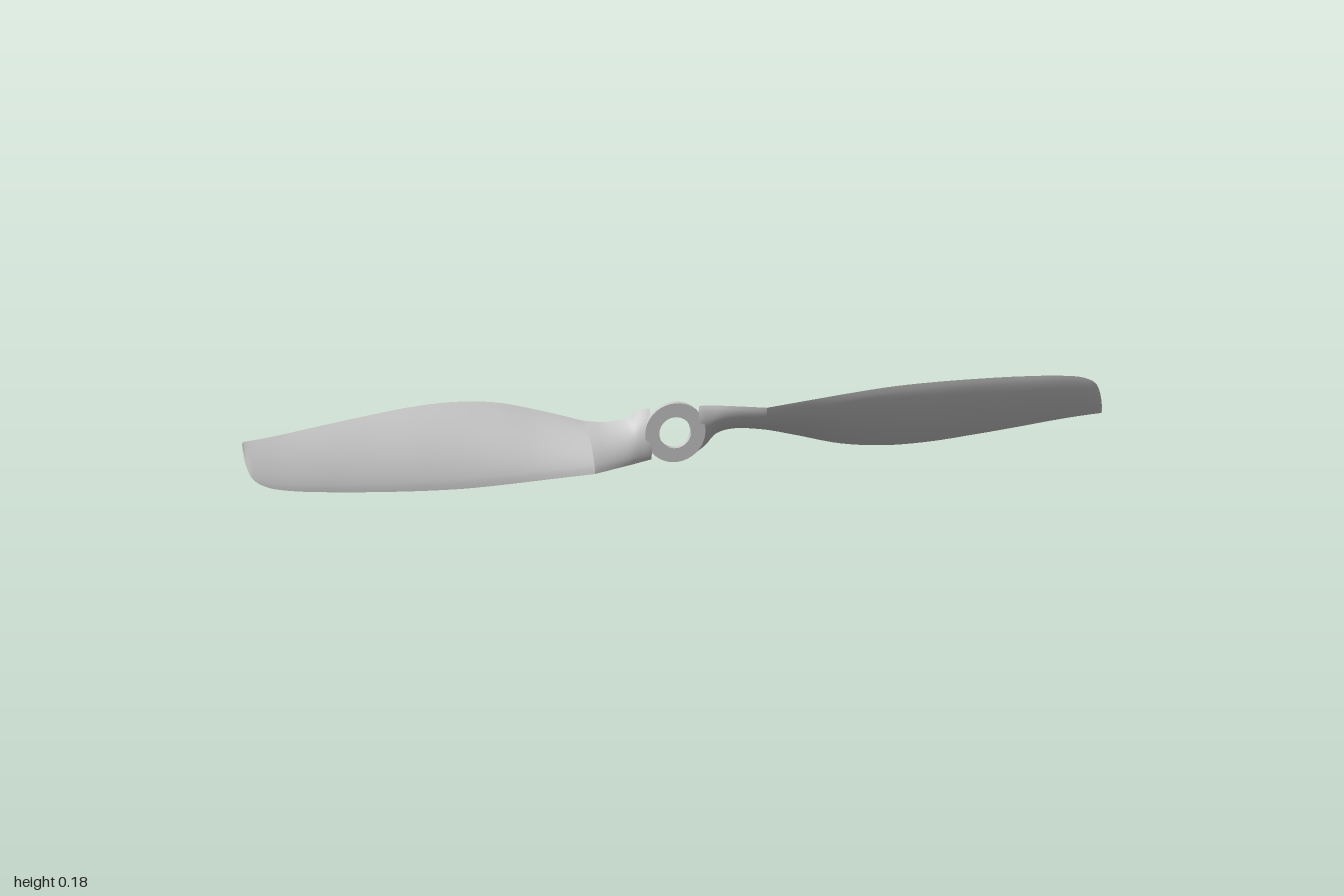
import * as THREE from 'three';

const material = new THREE.MeshStandardMaterial({ color: 0xcccccc, side: THREE.DoubleSide });
const CHORD = 20; // samples across the blade

// Stations along one blade, relative to the hub axis:
// [leading x, y, z, trailing x, y, z, thickness]
const rootStations = [
  [0.055, 0.060, 0.004, 0.055, -0.056, -0.016, 0.008],
  [0.080, 0.062, 0.012, 0.080, -0.046, -0.034, 0.013],
  [0.105, 0.063, 0.023, 0.105, -0.026, -0.046, 0.018],
  [0.150, 0.064, 0.043, 0.150, -0.017, -0.056, 0.021],
  [0.200, 0.065, 0.066, 0.200, -0.022, -0.061, 0.023],
];
const outerStations = [
  [0.20, 0.065, 0.066, 0.20, -0.022, -0.061, 0.023],
  [0.30, 0.073, 0.057, 0.30, -0.051, -0.070, 0.022],
  [0.40, 0.081, 0.049, 0.40, -0.077, -0.069, 0.021],
  [0.50, 0.087, 0.041, 0.50, -0.087, -0.064, 0.019],
  [0.60, 0.088, 0.033, 0.60, -0.084, -0.058, 0.017],
  [0.70, 0.086, 0.025, 0.70, -0.073, -0.052, 0.014],
  [0.80, 0.082, 0.017, 0.80, -0.060, -0.046, 0.012],
  [0.90, 0.074, 0.009, 0.90, -0.046, -0.040, 0.009],
  [0.95, 0.064, 0.002, 0.96, -0.039, -0.036, 0.007],
  [0.98, 0.046, -0.006, 0.985, -0.037, -0.035, 0.005],
  [0.994, 0.015, -0.018, 0.995, -0.036, -0.034, 0.003],
  [1.00, -0.018, -0.027, 1.00, -0.035, -0.033, 0.002],
];

// Indexed grid surface, smooth shaded
function gridSurface(rows, flip) {
  const pos = [], index = [], n = rows[0].length;
  rows.forEach(r => r.forEach(p => pos.push(p.x, p.y, p.z)));
  for (let i = 0; i < rows.length - 1; i++) {
    for (let j = 0; j < n - 1; j++) {
      const a = i * n + j, b = a + 1, c = a + n, d = c + 1;
      if (flip) index.push(a, b, c, b, d, c);
      else index.push(a, c, b, b, c, d);
    }
  }
  const g = new THREE.BufferGeometry();
  g.setAttribute('position', new THREE.Float32BufferAttribute(pos, 3));
  g.setIndex(index);
  g.computeVertexNormals();
  return g;
}

// Loft airfoil sections: convex front, slightly hollow back
function bladeSpan(stations, steps, name) {
  const edge = k => new THREE.CatmullRomCurve3(
    stations.map(s => new THREE.Vector3(s[k], s[k + 1], s[k + 2])));
  const lead = edge(0), trail = edge(3), front = [], back = [];
  for (let i = 0; i <= steps; i++) {
    const t = i / steps, f = t * (stations.length - 1);
    const k = Math.min(Math.floor(f), stations.length - 2);
    const thick = THREE.MathUtils.lerp(stations[k][6], stations[k + 1][6], f - k);
    const a = lead.getPoint(t), b = trail.getPoint(t);
    const c = b.clone().sub(a);
    const normal = new THREE.Vector3(0, c.z, -c.y).normalize();
    const section = camber => Array.from({ length: CHORD + 1 }, (_, j) => {
      const s = j / CHORD;
      const bulge = 4 * Math.pow(s, 0.8) * (1 - s) * thick * camber;
      return a.clone().addScaledVector(c, s).addScaledVector(normal, bulge);
    });
    front.push(section(0.85));
    back.push(section(0.15));
  }
  const group = new THREE.Group();
  group.name = name;
  const add = (part, rows, flip) => {
    const mesh = new THREE.Mesh(gridSurface(rows, flip), material);
    mesh.name = part;
    group.add(mesh);
  };
  add('frontFace', front, true);
  add('backFace', back, false);
  // End caps
  add('innerCap', [front[0], back[0]], false);
  add('outerCap', [front[steps], back[steps]], true);
  return group;
}

function makeBlade(name) {
  const blade = new THREE.Group();
  blade.name = name;
  blade.add(bladeSpan(rootStations, 20, 'bladeRoot'), bladeSpan(outerStations, 66, 'bladePanel'));
  return blade;
}

export function createModel() {
  const model = new THREE.Group();
  model.name = 'propeller';

  // Flat hub ring with the shaft hole
  const ring = new THREE.Shape().absarc(0, 0, 0.07, 0, Math.PI * 2, false);
  ring.holes.push(new THREE.Path().absarc(0, 0, 0.037, 0, Math.PI * 2, true));
  const hub = new THREE.Mesh(
    new THREE.ExtrudeGeometry(ring, { depth: 0.014, bevelEnabled: false, curveSegments: 48 }), material);
  hub.name = 'hubRing';
  hub.position.set(0, 0.09, -0.009);
  model.add(hub);

  // Two blades, half a turn apart
  ['leftBlade', 'rightBlade'].forEach((name, i) => {
    const blade = makeBlade(name);
    blade.position.y = 0.09;
    blade.rotation.z = i * Math.PI;
    model.add(blade);
  });
  return model;
}
